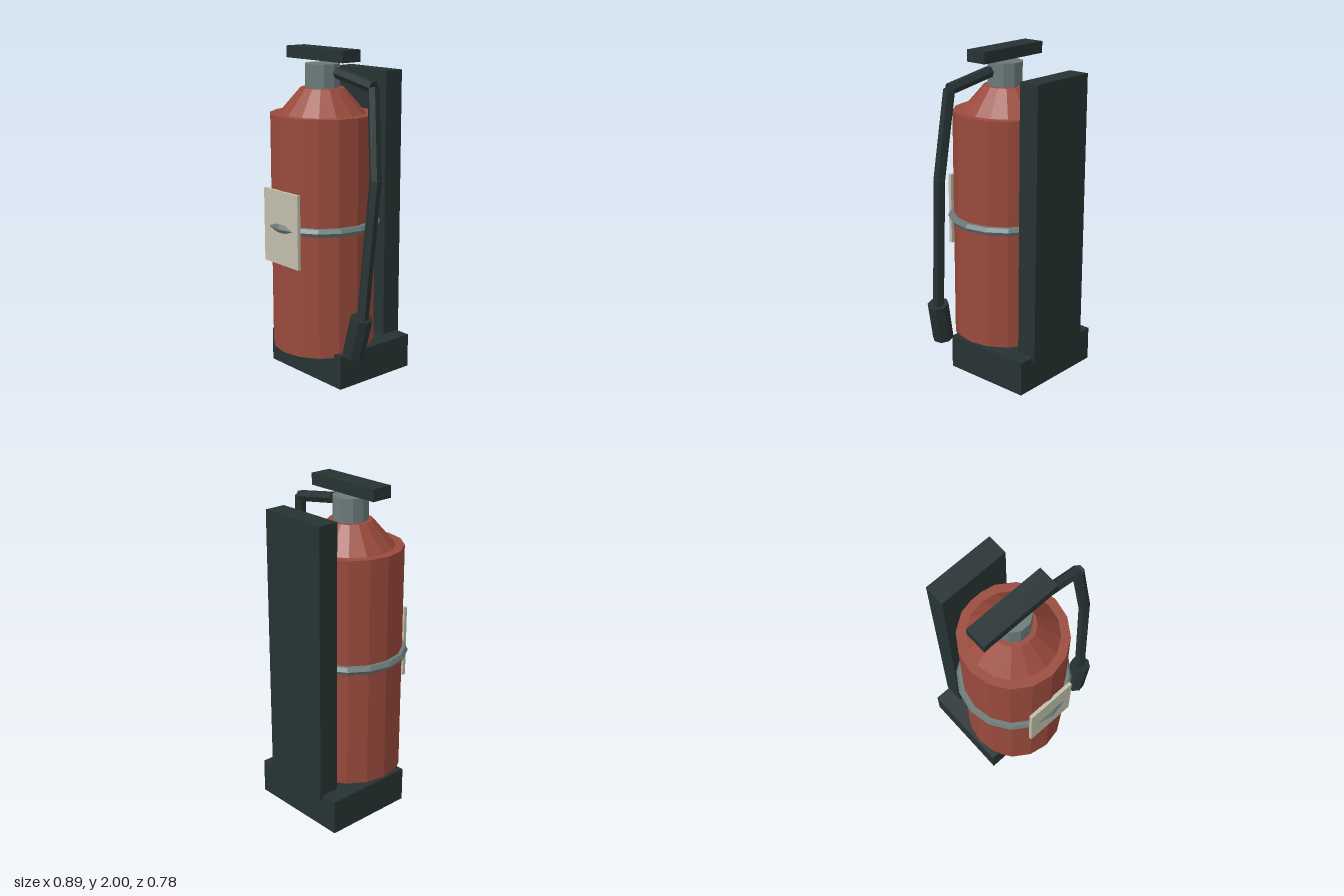
import * as THREE from 'three';

const paint = (name, color) => {
  const m = new THREE.MeshStandardMaterial({ color, flatShading: true });
  m.name = name;
  return m;
};

export function createModel() {
  const red = paint('red enamel', 0x9a4a3c);
  const dark = paint('dark rubber', 0x263232);
  const steel = paint('steel', 0x6a7a79);
  const cream = paint('cream label', 0xc2beac);

  const model = new THREE.Group();
  model.name = 'fireExtinguisher';
  const CX = -0.1025, CZ = 0.0425; // tank axis

  const add = (name, geometry, material) => {
    const mesh = new THREE.Mesh(geometry, material);
    mesh.name = name;
    model.add(mesh);
    return mesh;
  };
  // Box given by its limits on each axis
  const box = (name, material, [x0, x1], [y0, y1], [z0, z1]) =>
    add(name, new THREE.BoxGeometry(x1 - x0, y1 - y0, z1 - z0), material)
      .position.set((x0 + x1) / 2, (y0 + y1) / 2, (z0 + z1) / 2);
  // Upright cylinder or cone on the tank axis
  const drum = (name, material, rTop, rBottom, y0, y1, sides, turn = 0) =>
    add(name, new THREE.CylinderGeometry(rTop, rBottom, y1 - y0, sides, 1, false, turn), material)
      .position.set(CX, (y0 + y1) / 2, CZ);
  // Straight rod between two points
  const rod = (name, material, from, to, radius, sides) => {
    const a = new THREE.Vector3(...from), b = new THREE.Vector3(...to);
    const mesh = add(name, new THREE.CylinderGeometry(radius, radius, a.distanceTo(b), sides), material);
    mesh.position.copy(a).lerp(b, 0.5);
    mesh.quaternion.setFromUnitVectors(new THREE.Vector3(0, 1, 0), b.sub(a).normalize());
  };

  // Stand
  box('base', dark, [-0.43, 0.225], [0, 0.21], [-0.377, 0.19]);
  box('backBoard', dark, [-0.325, 0.12], [0.185, 1.86], [-0.392, -0.263]);

  // Tank
  drum('tank', red, 0.3125, 0.3125, 0.185, 1.62, 16);
  drum('shoulder', red, 0.13, 0.26, 1.62, 1.77, 16);
  drum('neck', steel, 0.105, 0.105, 1.77, 1.91, 10, Math.PI / 2);
  box('handle', dark, [-0.355, 0.15], [1.93, 2], [-0.027, 0.108]);

  // Strap around the tank, showing through the label
  const strap = add('strap', new THREE.TorusGeometry(0.321, 0.0275, 6, 16), steel);
  strap.rotation.x = Math.PI / 2;
  strap.position.set(CX, 0.964, CZ);
  box('label', cream, [-0.257, 0.055], [0.742, 1.187], [0.348, 0.369]);

  // Hose in straight lengths, ending in a nozzle
  const hose = [[0.033, 1.865, 0.042], [0.35, 1.81, 0.057], [0.408, 1.295, 0.09], [0.376, 0.48, 0.152]];
  for (let i = 0; i < 3; i++) rod('hose' + (i + 1), dark, hose[i], hose[i + 1], 0.035, 6);
  rod('nozzle', dark, [0.374, 0.488, 0.158], [0.32, 0.243, 0.174], 0.065, 8);

  return model;
}
